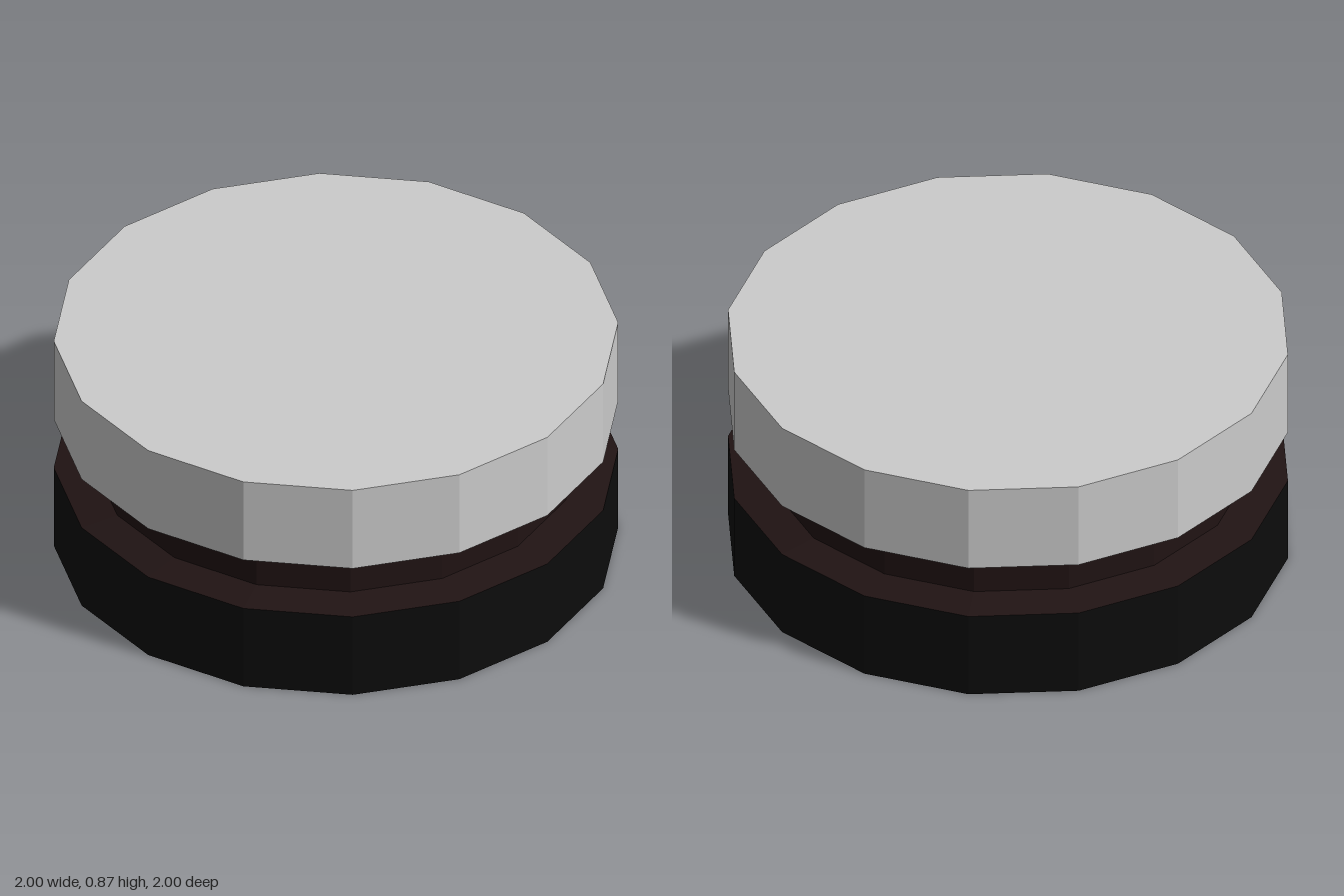
import * as THREE from 'three';

const SIDES = 16;

// Faceted ring or disc turned from a bottom-to-top profile of [radius, height]
function turned(name, color, profile) {
  const points = profile.map(([r, y]) => new THREE.Vector2(r, y));
  const material = new THREE.MeshStandardMaterial({ color, flatShading: true });
  const mesh = new THREE.Mesh(new THREE.LatheGeometry(points, SIDES), material);
  mesh.name = name;
  return mesh;
}

export function createModel() {
  const group = new THREE.Group();
  group.name = 'groovedDisc';

  // Black base: underside and outer wall
  group.add(turned('base', 0x0c0c0c, [[0, 0], [1, 0], [1, 0.333]]));

  // Dark brown groove with slightly sloped ledges
  group.add(turned('groove', 0x201313, [[1, 0.333], [0.86, 0.345], [0.86, 0.528], [1, 0.54]]));

  // Grey upper disc: outer wall and flat top
  group.add(turned('topDisc', 0xcccccc, [[1, 0.54], [1, 0.874], [0, 0.874]]));

  return group;
}
